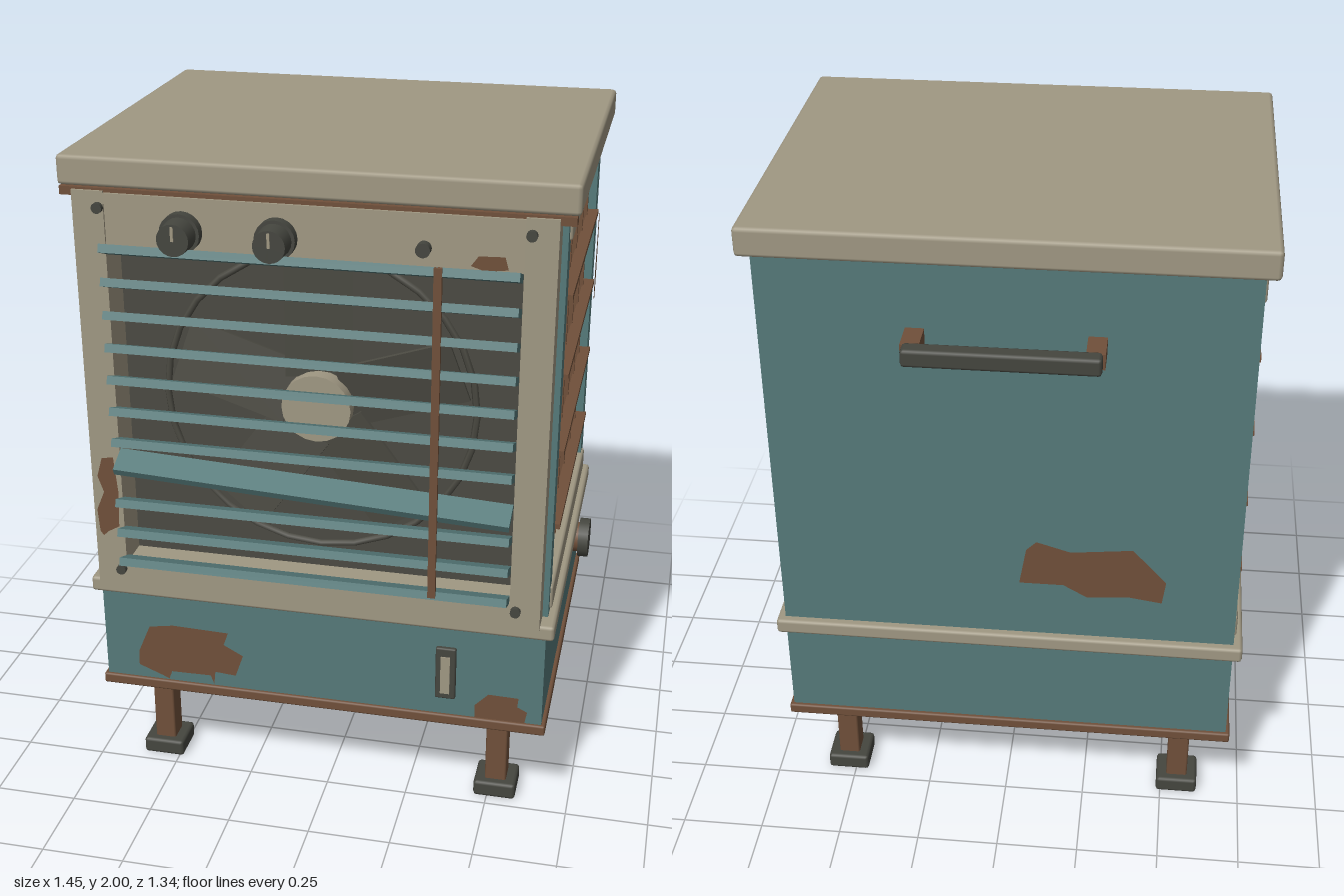
import * as THREE from 'three';
import { RoundedBoxGeometry } from 'three/addons/geometries/RoundedBoxGeometry.js';

const mat = (name, color, side = THREE.FrontSide) => {
  const m = new THREE.MeshStandardMaterial({ color, side });
  m.name = name;
  return m;
};

export function createModel() {
  const root = new THREE.Group();
  root.name = 'airCooler';
  const teal = mat('teal paint', 0x567a7a);
  const beige = mat('beige enamel', 0xa09883);
  const rust = mat('rusty brown', 0x70503a, THREE.DoubleSide);
  const padMat = mat('straw pad', 0x94765c);
  const dark = mat('dark rubber', 0x45463f);
  const shade = mat('dark interior', 0x4b4a42, THREE.DoubleSide);
  const C = -0.0125; // middle of the cabinet in x

  const add = (name, geo, m, x = 0, y = 0, z = 0, parent = root) => {
    const mesh = new THREE.Mesh(geo, m);
    mesh.name = name;
    mesh.position.set(x, y, z);
    parent.add(mesh);
    return mesh;
  };
  // Box given by its limits, with an optional softened edge
  const box = (name, m, x0, x1, y0, y1, z0, z1, r = 0) => {
    const s = [x1 - x0, y1 - y0, z1 - z0];
    const geo = r ? new RoundedBoxGeometry(...s, 1, r) : new THREE.BoxGeometry(...s);
    return add(name, geo, m, (x0 + x1) / 2, (y0 + y1) / 2, (z0 + z1) / 2);
  };
  // Cylinder along z, or along x
  const disc = (name, m, r, depth, x, y, z, axis = 'z', r2 = r) => {
    const geo = new THREE.CylinderGeometry(r2, r, depth, 20);
    if (axis === 'z') geo.rotateX(Math.PI / 2);
    else geo.rotateZ(-Math.PI / 2);
    return add(name, geo, m, x, y, z);
  };
  // Flat ragged patch
  const patch = (name, pts, x, y, z, turn = 0) => {
    const shape = new THREE.Shape(pts.map(p => new THREE.Vector2(...p)));
    const p = add(name, new THREE.ShapeGeometry(shape), rust, x, y, z);
    p.rotation.y = turn;
    return p;
  };

  // Lid, water tank and trims
  box('lid', beige, -0.727, 0.7, 1.915, 2, -0.575, 0.565, 0.012);
  box('tank', teal, -0.69, 0.665, 0.309, 0.66, -0.54, 0.54);
  box('tankTrim', beige, -0.717, 0.69, 0.645, 0.693, -0.565, 0.56, 0.01);
  box('baseRim', rust, -0.702, 0.677, 0.312, 0.345, -0.552, 0.55, 0.006);
  box('lidTrim', rust, -0.717, 0.69, 1.892, 1.916, 0.53, 0.572);

  // Legs and feet
  for (const sx of [-1, 1]) for (const sz of [-1, 1]) {
    const x = -0.014 + sx * 0.537, z = sz * 0.405;
    box('leg', rust, x - 0.033, x + 0.033, 0.04, 0.32, z - 0.036, z + 0.036, 0.006);
    box('foot', dark, x - 0.065, x + 0.065, 0.005, 0.057, z - 0.062, z + 0.062, 0.01);
  }

  // Cabinet core and back
  box('core', shade, C - 0.6, C + 0.6, 0.69, 1.885, -0.52, 0.47);
  box('backPanel', teal, -0.69, 0.665, 0.68, 1.918, -0.54, -0.515);

  // Sides: corner posts, pad, frame rails and wire grid
  for (const s of [-1, 1]) {
    const side = (name, m, a, b, ...rest) =>
      box(name, m, Math.min(C + s * a, C + s * b), Math.max(C + s * a, C + s * b), ...rest);
    side('frontPost', teal, 0.6, 0.677, 0.68, 1.918, 0.435, 0.5);
    side('backPost', teal, 0.6, 0.677, 0.68, 1.918, -0.54, -0.467);
    side('pad', padMat, 0.58, 0.635, 0.76, 1.83, -0.48, 0.405);
    side('topRail', beige, 0.59, 0.685, 1.82, 1.893, -0.513, 0.47, 0.008);
    side('bottomRail', beige, 0.59, 0.685, 0.703, 0.777, -0.513, 0.47, 0.008);
    for (const z of [0.305, 0.13, -0.05, -0.23, -0.405])
      side('wireUpright', rust, 0.64, 0.656, 0.77, 1.825, z - 0.008, z + 0.008);
    for (const y of [0.922, 1.157, 1.393, 1.628])
      side('wireCross', rust, 0.652, 0.686, y - 0.008, y + 0.008, -0.47, 0.37);
  }

  // Front frame
  box('leftStile', beige, 0.56, 0.648, 0.69, 1.91, 0.47, 0.58);
  box('rightStile', beige, -0.68, -0.59, 0.69, 1.91, 0.47, 0.58);
  box('frameTop', beige, -0.59, 0.56, 1.875, 1.905, 0.47, 0.58);
  box('frameBottom', beige, -0.59, 0.56, 0.69, 0.768, 0.47, 0.58);
  box('controlPanel', beige, -0.59, 0.56, 1.755, 1.878, 0.47, 0.574);
  for (const x of [-0.605, 0.578]) for (const y of [0.748, 1.865])
    disc('screw', dark, 0.015, 0.016, x, y, 0.587);

  // Fan
  const fanY = 1.305;
  add('fanRing', new THREE.TorusGeometry(0.45, 0.01, 6, 28), shade, C, fanY, 0.49);
  disc('fanHub', beige, 0.1, 0.05, C, fanY, 0.515);
  for (let i = 0; i < 5; i++) {
    const pivot = new THREE.Group();
    pivot.name = 'fanBlade';
    pivot.position.set(C, fanY, 0.493);
    pivot.rotation.z = (i * Math.PI * 2) / 5;
    root.add(pivot);
    const blade = add('blade', new THREE.BoxGeometry(0.19, 0.34, 0.01), shade, 0, 0.25, 0, pivot);
    blade.rotation.y = 0.15;
  }

  // Louvres, one of them hanging loose
  for (let i = 0; i < 11; i++) {
    const loose = i === 7;
    const slat = add(loose ? 'looseLouvre' : 'louvre', new THREE.BoxGeometry(1.147, 0.024, 0.078),
      teal, -0.016, loose ? 1.085 : 1.755 - i * 0.0965, 0.604);
    slat.rotation.set(loose ? 0.5 : -0.37, 0, loose ? -0.052 : 0, 'ZXY');
  }
  box('louvreRod', rust, 0.333, 0.355, 0.8, 1.78, 0.634, 0.648);

  // Control knobs and lamp
  for (const x of [-0.37, -0.105]) {
    disc('knobFlange', dark, 0.057, 0.03, x, 1.81, 0.588);
    disc('knob', dark, 0.048, 0.06, x, 1.81, 0.63, 'z', 0.045);
    box('knobPointer', beige, x - 0.004, x + 0.004, 1.808, 1.848, 0.659, 0.664);
  }
  disc('lamp', dark, 0.02, 0.03, 0.295, 1.81, 0.587);

  // Water gauge and side filler cap
  box('gaugeFrame', dark, 0.345, 0.406, 0.405, 0.578, 0.535, 0.553, 0.005);
  box('gaugeWindow', beige, 0.361, 0.389, 0.425, 0.55, 0.551, 0.557);
  disc('fillerNeck', rust, 0.05, 0.04, 0.675, 0.555, -0.277, 'x');
  disc('fillerCap', dark, 0.065, 0.033, 0.706, 0.555, -0.277, 'x');

  // Back handle
  box('handleBracket', rust, -0.287, -0.235, 1.667, 1.713, -0.635, -0.535);
  box('handleBracket', rust, 0.206, 0.258, 1.667, 1.713, -0.635, -0.535);
  box('handleGrip', dark, -0.28, 0.253, 1.664, 1.716, -0.673, -0.622, 0.01);

  // Rust patches
  patch('tankRustLarge', [[-0.585, 0.39], [-0.583, 0.44], [-0.545, 0.53], [-0.47, 0.543], [-0.295, 0.538],
    [-0.31, 0.495], [-0.25, 0.463], [-0.275, 0.39], [-0.34, 0.395], [-0.345, 0.35], [-0.355, 0.38],
    [-0.48, 0.378], [-0.49, 0.35], [-0.51, 0.36]], 0, 0, 0.544);
  patch('tankRustSmall', [[0.465, 0.347], [0.465, 0.39], [0.505, 0.432], [0.595, 0.43], [0.592, 0.4],
    [0.622, 0.385], [0.615, 0.347]], 0, 0, 0.544);
  patch('stileRust', [[-0.665, 0.87], [-0.67, 0.94], [-0.645, 1.0], [-0.662, 1.05], [-0.645, 1.11],
    [-0.61, 1.115], [-0.6, 1.0], [-0.605, 0.89], [-0.64, 0.87], [-0.655, 0.855]], 0, 0, 0.584);
  patch('panelRust', [[0.42, 1.77], [0.44, 1.798], [0.51, 1.8], [0.52, 1.765], [0.46, 1.757]], 0, 0, 0.578);
  patch('backRust', [[0.05, 0.88], [0.07, 1.0], [0.1, 1.03], [0.2, 1.0], [0.38, 1.02], [0.48, 0.91],
    [0.47, 0.835], [0.37, 0.85], [0.25, 0.84], [0.18, 0.88]], 0, 0, -0.544, Math.PI);
  patch('postRust', [[0.45, 1.42], [0.465, 1.55], [0.475, 1.63], [0.5, 1.59], [0.503, 1.4], [0.49, 1.33],
    [0.46, 1.335]], 0.676, 0, 0, Math.PI / 2);

  return root;
}
